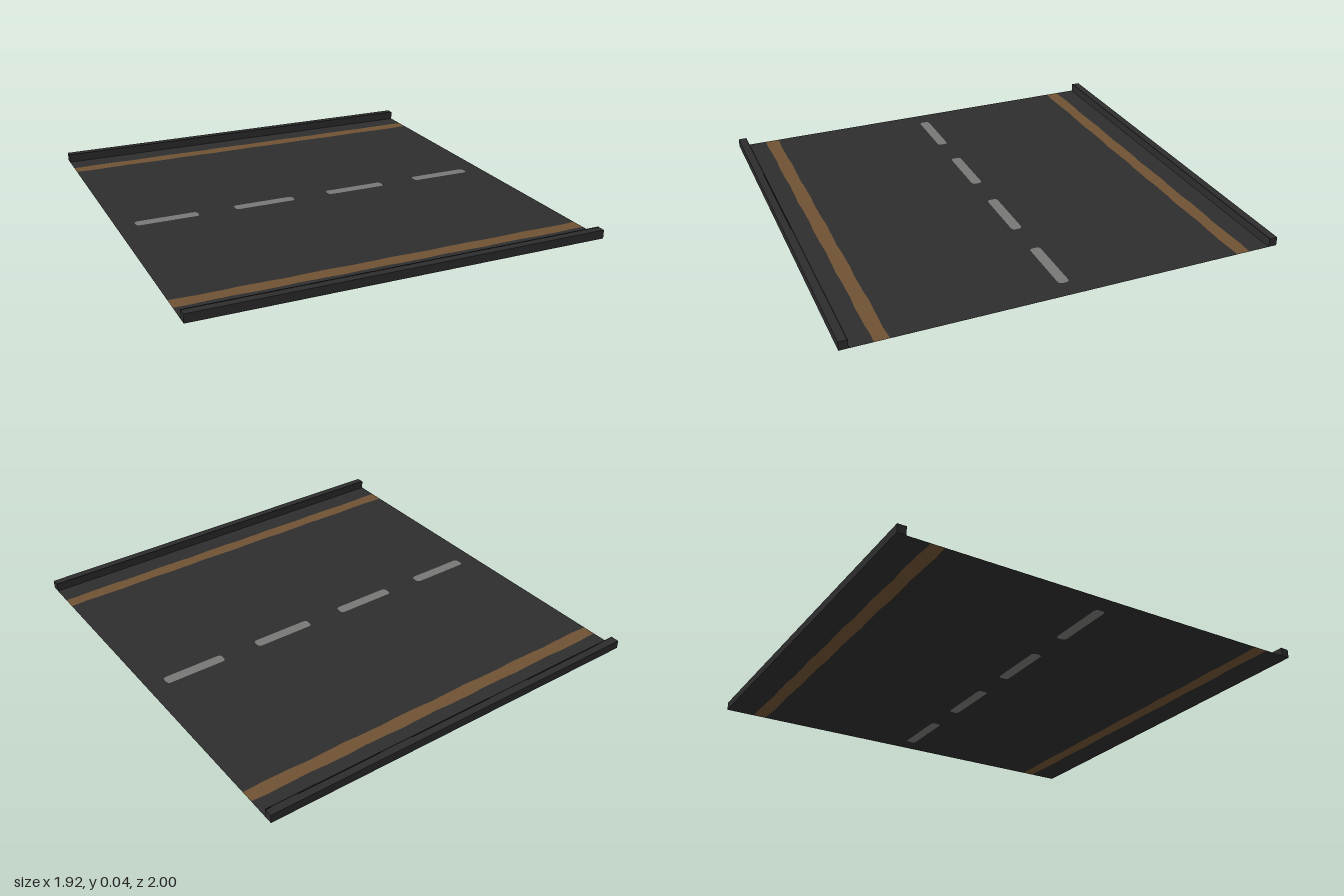
import * as THREE from 'three';

const HALF_X = 0.96, CURB_IN = 0.96, CURB_OUT = 1, CURB_H = 0.04;

const material = (name, color, side = THREE.FrontSide) => {
  const m = new THREE.MeshStandardMaterial({ color, side });
  m.name = name;
  return m;
};

// Slightly worn paint edge: a line along x near the given z
function wornEdge(z, phase) {
  const points = [];
  for (let i = 0; i <= 48; i++) {
    const x = -HALF_X + (2 * HALF_X * i) / 48;
    points.push(new THREE.Vector2(x, z + 0.002 * Math.sin(x * 19 + phase) + 0.001 * Math.sin(x * 47 + phase)));
  }
  return points;
}
const straightEdge = (z) => [new THREE.Vector2(-HALF_X, z), new THREE.Vector2(HALF_X, z)];

// Flat band between two edges
const band = (low, high) => new THREE.Shape([...low, ...[...high].reverse()]);

// Outline of one rounded centre dash
function dashPoints(cx) {
  const half = 0.15, r = 0.025, corner = 0.016, points = [];
  for (let q = 0; q < 4; q++) {
    const sx = q === 0 || q === 3 ? 1 : -1, sy = q < 2 ? 1 : -1;
    for (let i = 0; i <= 4; i++) {
      const a = (q + i / 4) * Math.PI / 2;
      points.push(new THREE.Vector2(
        cx + sx * (half - corner) + corner * Math.cos(a),
        sy * (r - corner) + corner * Math.sin(a)));
    }
  }
  return points;
}

export function createModel() {
  const group = new THREE.Group();
  group.name = 'roadSection';

  const asphalt = material('asphalt', 0x2e2e2e, THREE.DoubleSide);
  const edgePaint = material('edge paint', 0x6f5233, THREE.DoubleSide);
  const dashPaint = material('dash paint', 0x777775, THREE.DoubleSide);
  const curbStone = material('curb stone', 0x2d2d2e);
  const curbSeam = material('curb seam', 0x191919);

  const addMesh = (name, geometry, mat) => {
    const mesh = new THREE.Mesh(geometry, mat);
    mesh.name = name;
    group.add(mesh);
    return mesh;
  };
  // Lay a shape flat on the ground
  const addFlat = (name, shape, mat) =>
    addMesh(name, new THREE.ShapeGeometry(shape).rotateX(-Math.PI / 2), mat);

  // Carriageway with openings that the dashes fill exactly
  const centres = [-0.72, -0.24, 0.24, 0.72];
  const carriageway = band(wornEdge(-0.795, 1), wornEdge(0.795, 2));
  centres.forEach((cx) => carriageway.holes.push(new THREE.Path(dashPoints(cx))));
  addFlat('carriageway', carriageway, asphalt);
  centres.forEach((cx) => addFlat('centreDash', new THREE.Shape(dashPoints(cx)), dashPaint));

  // Edge lines and shoulders
  addFlat('edgeLineFront', band(wornEdge(-0.86, 3), wornEdge(-0.795, 1)), edgePaint);
  addFlat('edgeLineBack', band(wornEdge(0.795, 2), wornEdge(0.86, 4)), edgePaint);
  addFlat('shoulderFront', band(straightEdge(-CURB_IN), wornEdge(-0.86, 3)), asphalt);
  addFlat('shoulderBack', band(wornEdge(0.86, 4), straightEdge(CURB_IN)), asphalt);

  // Raised curbs with a dark seam along the inner top edge
  for (const side of [-1, 1]) {
    const label = side > 0 ? 'Front' : 'Back';
    const curb = addMesh('curb' + label,
      new THREE.BoxGeometry(2 * HALF_X, CURB_H, CURB_OUT - CURB_IN), curbStone);
    curb.position.set(0, CURB_H / 2, side * (CURB_IN + CURB_OUT) / 2);
    const seam = addMesh('curbSeam' + label,
      new THREE.BoxGeometry(2 * HALF_X, 0.001, 0.005), curbSeam);
    seam.position.set(0, CURB_H + 0.0005, side * (CURB_IN + 0.0025));
  }
  return group;
}
